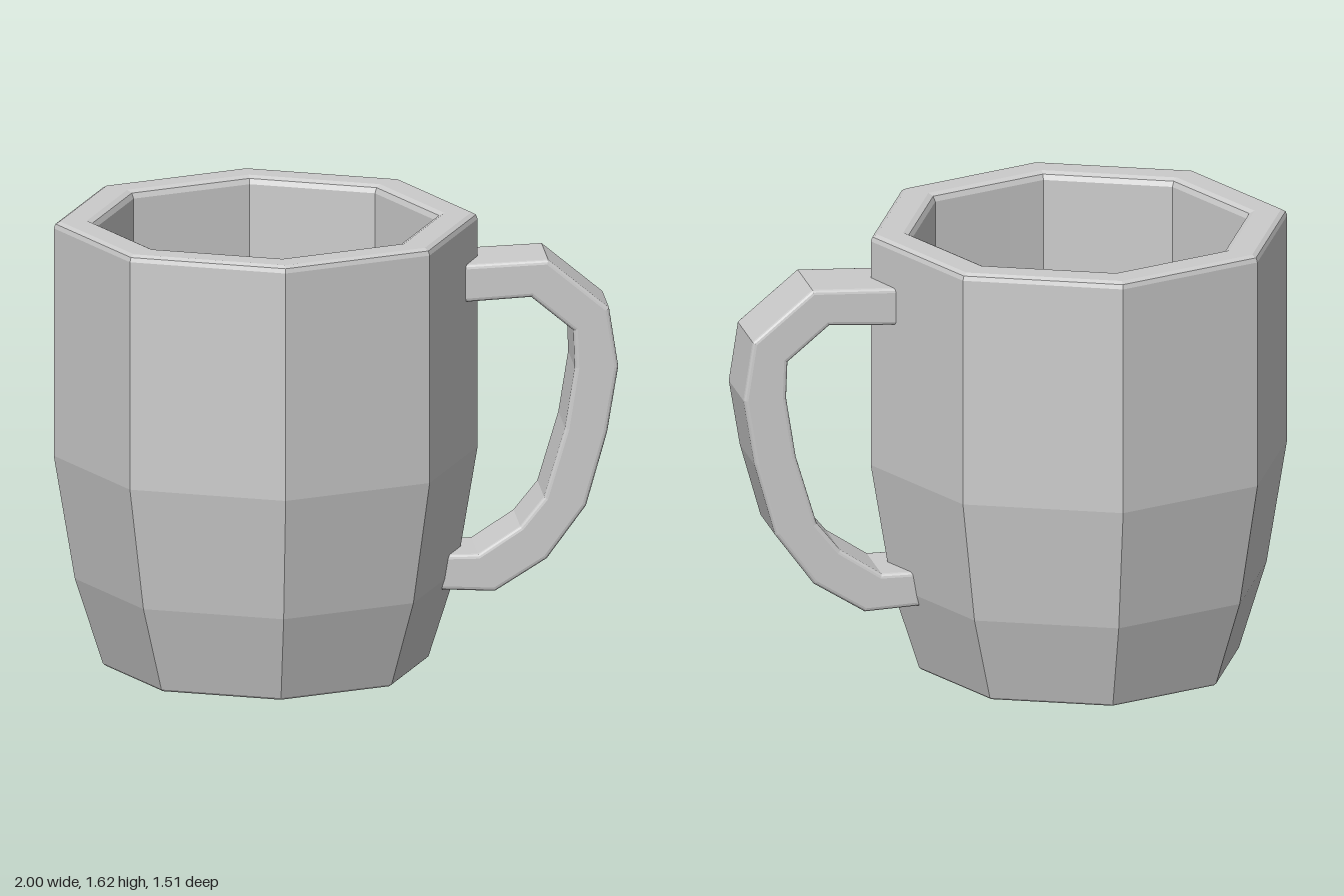
import * as THREE from 'three';

const toPoints = (list) => list.map(([x, y]) => new THREE.Vector2(x, y));

export function createModel() {
  const group = new THREE.Group();
  const material = new THREE.MeshStandardMaterial({ color: 0xcccccc, flatShading: true });

  // Eight-sided cup: underside, outer wall, rounded rim, inner wall, floor
  const profile = toPoints([
    [0, 0], [0.57, 0], [0.58, 0.008],
    [0.68, 0.32], [0.755, 0.77], [0.755, 1.6],
    [0.749, 1.616], [0.733, 1.625],
    [0.637, 1.625], [0.617, 1.616], [0.608, 1.597],
    [0.607, 0.77], [0.545, 0.32], [0, 0.32],
  ]);
  const cup = new THREE.Mesh(new THREE.LatheGeometry(profile, 8), material);
  cup.name = 'cup';
  cup.position.x = -0.245;
  group.add(cup);

  // Faceted handle: side outline extruded across z, ends sunk into the wall
  const outline = new THREE.Shape(toPoints([
    [0.36, 0.28], [0.56, 0.27], [0.745, 0.385], [0.885, 0.575], [0.96, 0.84],
    [1, 1.08], [0.967, 1.295], [0.75, 1.475], [0.42, 1.462],
    [0.42, 1.325], [0.69, 1.34], [0.84, 1.215], [0.845, 1.08],
    [0.81, 0.86], [0.735, 0.61], [0.65, 0.505], [0.5, 0.407], [0.36, 0.407],
  ]));
  const width = 0.278, bevel = 0.015;
  const handleGeometry = new THREE.ExtrudeGeometry(outline, {
    depth: width - 2 * bevel,
    bevelThickness: bevel,
    bevelSize: bevel,
    bevelOffset: -bevel,
    bevelSegments: 3,
  });
  handleGeometry.translate(0, 0, bevel - width / 2 - 0.007);
  const handle = new THREE.Mesh(handleGeometry, material);
  handle.name = 'handle';
  group.add(handle);

  return group;
}
